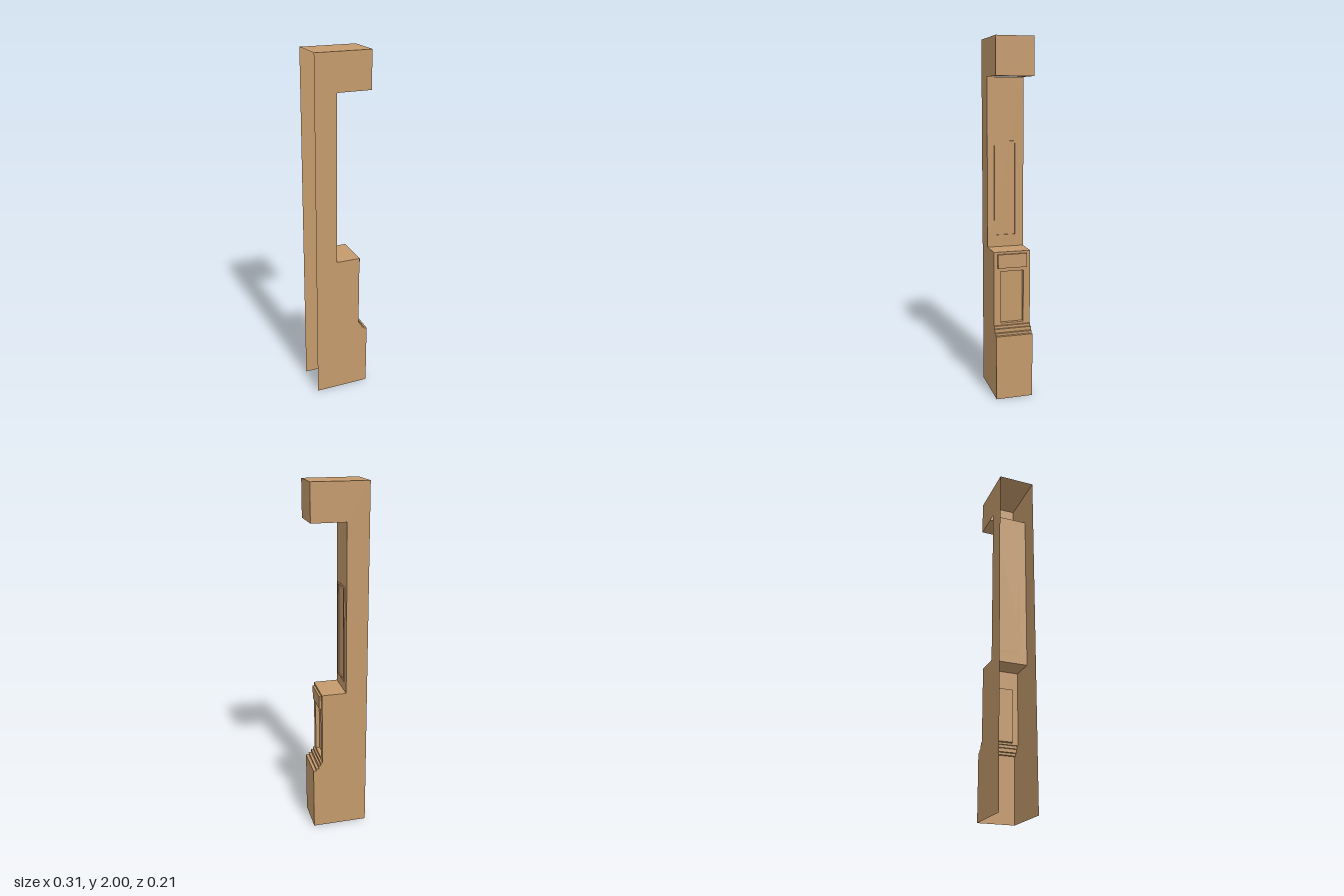
import * as THREE from 'three';

export function createModel() {
  const wood = new THREE.MeshStandardMaterial({ color: 0xc49a6c, side: THREE.DoubleSide });
  wood.name = 'wood';
  const model = new THREE.Group();
  model.name = 'pilasterCabinetSide';
  const D = 0.105, L = -0.158, R = 0.157, neckX = -0.036, pedX = 0.103;

  function add(name, geometry, x = 0, y = 0, z = 0, parent = model) {
    const mesh = new THREE.Mesh(geometry, wood);
    mesh.name = name;
    mesh.position.set(x, y, z);
    parent.add(mesh);
    return mesh;
  }

  // Side outline, from the base upward along the stepped edge
  const edge = [
    [R, 0], [R, 0.37], [0.14, 0.37], [0.14, 0.383], [0.125, 0.383], [0.125, 0.403],
    [0.114, 0.403], [0.114, 0.418], [pedX, 0.418], [pedX, 0.842], [neckX, 0.842],
    [neckX, 1.795], [R, 1.795], [R, 2], [L, 2],
  ];
  const outline = new THREE.Shape([...edge, [L, 0]].map(([x, y]) => new THREE.Vector2(x, y)));
  add('frontBoard', new THREE.ShapeGeometry(outline), 0, 0, D);
  const back = add('backBoard', new THREE.ShapeGeometry(outline), 0, 0, -D);
  back.geometry.scale(-1, 1, 1);
  back.rotation.y = Math.PI;
  // mirrored twice, so the outline keeps its direction but faces backward
  const index = back.geometry.index.array;
  for (let i = 0; i < index.length; i += 3) [index[i], index[i + 1]] = [index[i + 1], index[i]];

  // Flat strip spanning the depth between two outline points
  function strip(name, [x1, y1], [x2, y2]) {
    const g = new THREE.BufferGeometry();
    g.setAttribute('position', new THREE.Float32BufferAttribute([
      x1, y1, D, x1, y1, -D, x2, y2, -D, x2, y2, D], 3));
    g.setIndex([0, 1, 2, 0, 2, 3]);
    g.computeVertexNormals();
    add(name, g);
  }
  const names = ['baseFace', 'step', 'step', 'step', 'step', 'step', 'step', 'step',
    null, 'ledge', 'neckFace', 'headerUnderside', 'headerFace', 'top'];
  names.forEach((name, i) => {
    if (!name) return; // the pedestal face has an opening and is built below
    // the underside stops short of the neck, leaving a slot
    const start = name === 'headerUnderside' ? [0.01, 1.795] : edge[i];
    strip(name, start, edge[i + 1]);
  });

  // Rectangle centred on z = 0, given in (z, y)
  function rect(Type, w, y0, y1) {
    return new Type([[-w, y0], [w, y0], [w, y1], [-w, y1]].map(([a, b]) => new THREE.Vector2(a, b)));
  }
  function framed(outer, inner) {
    outer.holes.push(inner);
    return outer;
  }
  const turn = (g) => g.rotateY(Math.PI / 2); // shape plane now faces +x

  // Pedestal face with its recessed panel
  add('pedestalFace', turn(new THREE.ShapeGeometry(
    framed(rect(THREE.Shape, D, 0.418, 0.842), rect(THREE.Path, 0.066, 0.43, 0.73)))), pedX);
  const depth = 0.022;
  add('recessWalls', turn(new THREE.ExtrudeGeometry(
    framed(rect(THREE.Shape, 0.068, 0.428, 0.732), rect(THREE.Path, 0.066, 0.43, 0.73)),
    { depth, bevelEnabled: false })), pedX - depth);
  add('recessPanel', turn(new THREE.ShapeGeometry(rect(THREE.Shape, 0.068, 0.428, 0.732))), pedX - depth);

  // Raised block above the recess
  add('raisedBlock', new THREE.BoxGeometry(0.012, 0.078, 0.166), pedX + 0.006, 0.79, 0);

  // Thin raised moulding on the neck
  add('neckMoulding', turn(new THREE.ExtrudeGeometry(
    framed(rect(THREE.Shape, 0.066, 0.9, 1.445), rect(THREE.Path, 0.054, 0.912, 1.433)),
    { depth: 0.006, bevelEnabled: false })), neckX);

  return model;
}
